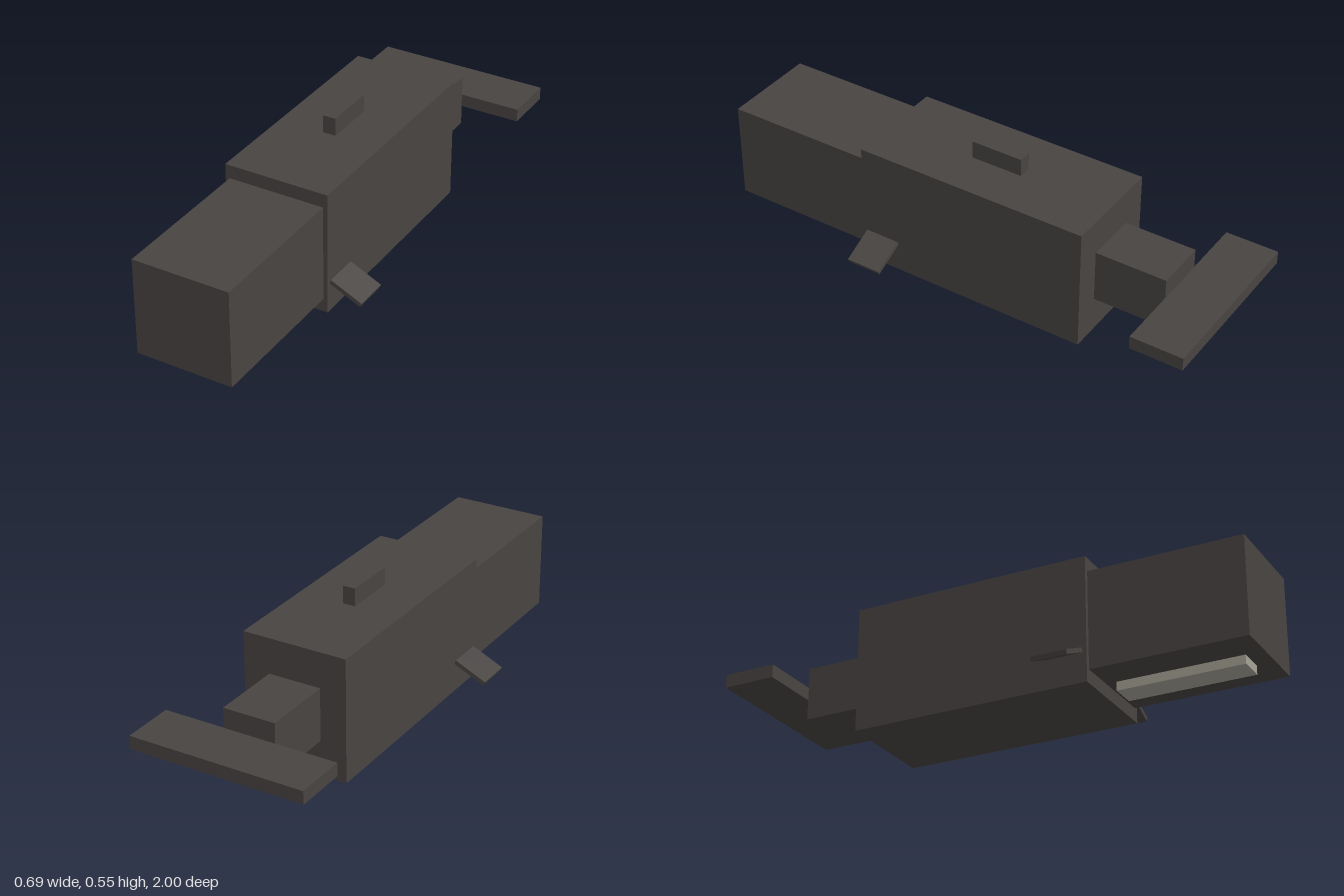
import * as THREE from 'three';

export function createModel() {
  const model = new THREE.Group();
  model.name = 'blockWhale';

  const skin = new THREE.MeshStandardMaterial({ color: 0x484442 });
  skin.name = 'dark grey skin';
  const pale = new THREE.MeshStandardMaterial({ color: 0xa6a296 });
  pale.name = 'pale jaw';

  // Box given by its size and centre
  const box = (name, size, centre, material = skin) => {
    const mesh = new THREE.Mesh(new THREE.BoxGeometry(...size), material);
    mesh.name = name;
    mesh.position.set(...centre);
    model.add(mesh);
    return mesh;
  };

  // Trunk and head
  box('body', [0.412, 0.483, 0.927], [0, 0.2415, -0.0515]);
  box('head', [0.378, 0.378, 0.588], [0, 0.241, 0.706]);
  box('lowerJaw', [0.102, 0.034, 0.48], [0, 0.035, 0.691], pale);
  box('backFin', [0.051, 0.069, 0.206], [0, 0.5175, -0.052]);

  // Tail and flukes
  box('tailStock', [0.206, 0.206, 0.28], [0, 0.242, -0.655]);
  box('tailFlukes', [0.687, 0.051, 0.206], [0, 0.242, -0.897]);

  // Drooping side flippers
  for (const side of [1, -1]) {
    const flipper = box(side > 0 ? 'leftFlipper' : 'rightFlipper',
      [0.137, 0.017, 0.137], [side * 0.269, 0.093, 0.328]);
    flipper.rotation.z = -side * 0.436;
  }

  return model;
}
